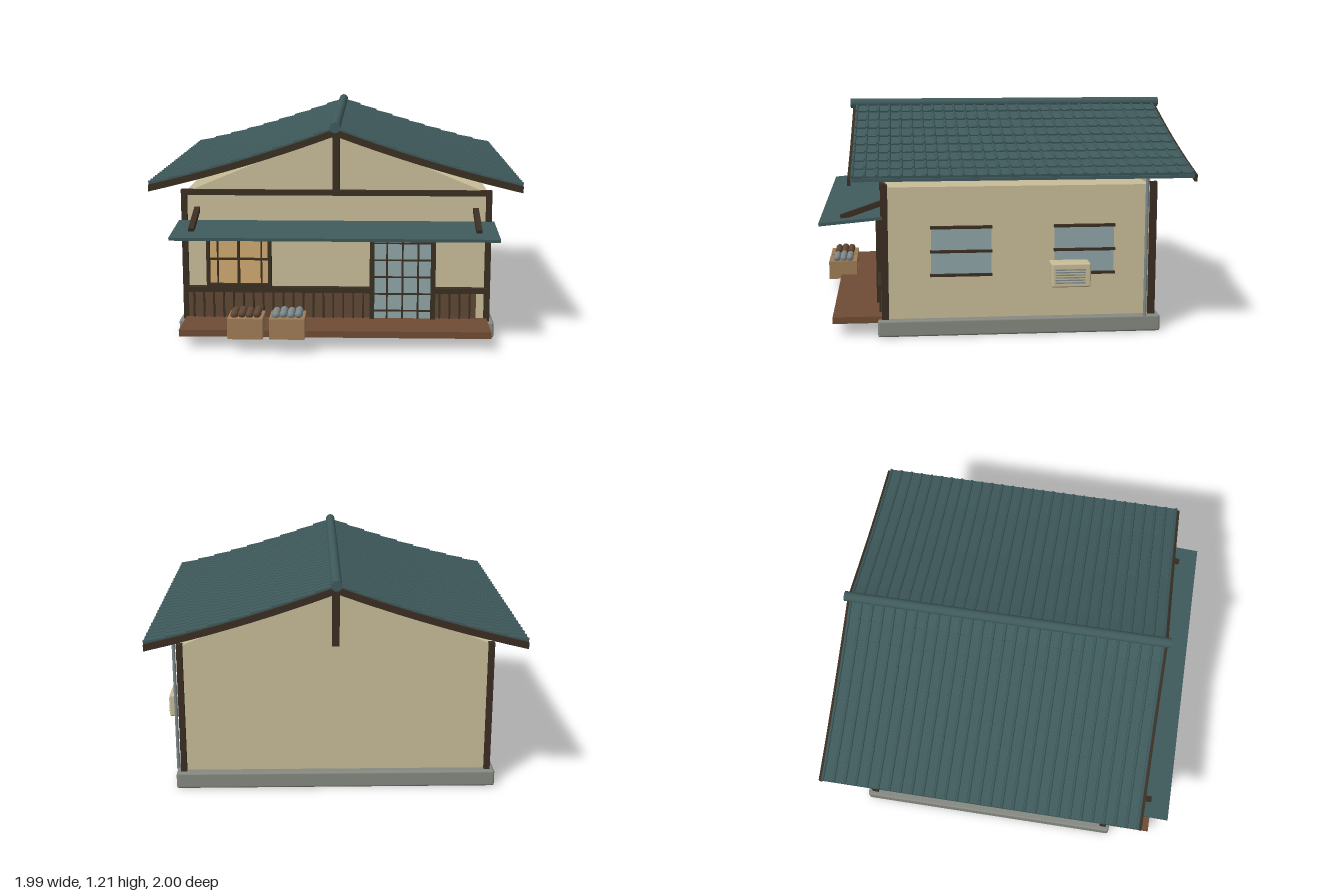
import * as THREE from 'three';
import { mergeGeometries } from 'three/addons/utils/BufferGeometryUtils.js';
import { RoundedBoxGeometry } from 'three/addons/geometries/RoundedBoxGeometry.js';

const mat = (name, color) => {
  const m = new THREE.MeshStandardMaterial({ color });
  m.name = name;
  return m;
};

export function createModel() {
  const plaster = mat('plaster', 0xc8bc98), tile = mat('roof tile', 0x3f5a5c);
  const timber = mat('dark timber', 0x3a2e22), panel = mat('panel brown', 0x5f4734);
  const plank = mat('plank brown', 0x6f4c35), crateWood = mat('crate wood', 0x9e7c55);
  const stone = mat('stone', 0x858980), glass = mat('glass', 0x8fa5a8);
  const paper = mat('warm paper', 0xcfa972), grey = mat('grey', 0x7c888a);
  const house = new THREE.Group();
  house.name = 'house';

  const add = (name, geo, material, x = 0, y = 0, z = 0, parent = house) => {
    const m = new THREE.Mesh(geo, material);
    m.name = name;
    m.position.set(x, y, z);
    parent.add(m);
    return m;
  };
  // box given by its limits on each axis
  const box = (name, material, x0, x1, y0, y1, z0, z1, parent = house) =>
    add(name, new THREE.BoxGeometry(x1 - x0, y1 - y0, z1 - z0), material,
      (x0 + x1) / 2, (y0 + y1) / 2, (z0 + z1) / 2, parent);

  // foundation and walls
  add('foundation', new RoundedBoxGeometry(1.74, 0.09, 1.52, 2, 0.012), stone, 0, 0.045, -0.075);
  box('walls', plaster, -0.83, 0.83, 0.085, 0.8, -0.785, 0.645);
  const gableShape = new THREE.Shape([[-0.83, 0.8], [0.83, 0.8], [0, 1.145]].map(p => new THREE.Vector2(...p)));
  const gableGeo = new THREE.ExtrudeGeometry(gableShape, { depth: 0.02, bevelEnabled: false });
  for (const z of [0.625, -0.785]) add('gable', gableGeo, plaster, 0, 0, z);

  // timber frame
  for (const z of [0.645, -0.79]) {
    for (const s of [-1, 1])
      box('cornerPost', timber, s * 0.83 - 0.016, s * 0.83 + 0.016, 0.09, 0.815, z - 0.019, z + 0.019);
    box('kingPost', timber, -0.02, 0.02, 0.8, 1.15, z - 0.015, z + 0.015);
  }
  box('tieBeam', timber, -0.845, 0.845, 0.79, 0.82, 0.635, 0.668);

  // curved roof: one half, built twice
  const roofY = x => 1.165 - 0.37 * x + 0.07 * x * x;
  const roofBand = (top, bottom, depth) => {
    const upper = [], lower = [];
    for (let i = 0; i <= 9; i++) {
      const x = i * 0.11;
      upper.push(new THREE.Vector2(x, roofY(x) + top));
      lower.unshift(new THREE.Vector2(x, roofY(x) + bottom));
    }
    return new THREE.ExtrudeGeometry(new THREE.Shape([...upper, ...lower]), { depth, bevelEnabled: false });
  };
  const shellGeo = roofBand(0.002, -0.014, 1.78);
  const bargeGeo = roofBand(0.004, -0.032, 0.016);
  for (const turn of [0, Math.PI]) {
    const half = new THREE.Group();
    half.name = 'roofHalf';
    half.position.z = -0.08;
    half.rotation.y = turn;
    house.add(half);
    add('roofShell', shellGeo, tile, 0, 0, -0.89, half);
    for (const z of [-0.905, 0.889]) add('bargeBoard', bargeGeo, timber, 0, 0, z, half);
    for (let i = 0; i < 9; i++) {
      // overlapping course with raised ribs
      const x0 = i * 0.11, x1 = x0 + 0.11;
      const length = Math.hypot(0.11, roofY(x1) - roofY(x0));
      const parts = [new THREE.BoxGeometry(length, 0.012, 1.78)];
      for (let k = 0; k <= 28; k++) {
        const rib = new THREE.CylinderGeometry(0.008, 0.008, length, 6);
        rib.rotateZ(Math.PI / 2).translate(0, 0.006, -0.882 + k * 0.063);
        parts.push(rib);
      }
      const course = add('tileCourse', mergeGeometries(parts), tile, (x0 + x1) / 2,
        (roofY(x0) + roofY(x1)) / 2 + 0.006, 0, half);
      course.rotation.z = Math.atan2(roofY(x1) - roofY(x0), 0.11) + 0.07;
    }
  }
  add('ridge', new THREE.CylinderGeometry(0.028, 0.028, 1.84, 16).rotateX(Math.PI / 2), tile, 0, 1.178, -0.08);

  // awning with its brackets
  const awning = add('awning', new THREE.BoxGeometry(1.72, 0.016, 0.33), tile, 0, 0.627, 0.82);
  awning.rotation.x = 0.09;
  for (const x of [-0.76, 0.76]) {
    const bracket = add('awningBracket', new THREE.BoxGeometry(0.03, 0.028, 0.24), timber, x, 0.672, 0.76);
    bracket.rotation.x = 0.33;
  }

  // wainscot with battens and rail
  for (const [x0, x1, railEnd] of [[-0.815, 0.19, 0.19], [0.54, 0.77, 0.83]]) {
    box('wainscot', panel, x0, x1, 0.1, 0.255, 0.64, 0.668);
    box('wainscotRail', timber, x0, railEnd, 0.25, 0.278, 0.64, 0.685);
    for (let x = x0 + 0.03; x < x1; x += 0.055)
      box('batten', timber, x - 0.005, x + 0.005, 0.1, 0.255, 0.66, 0.677);
  }

  // sliding door
  box('doorGlass', glass, 0.2, 0.53, 0.1, 0.61, 0.64, 0.672);
  for (const x of [0.198, 0.532]) box('doorJamb', timber, x - 0.013, x + 0.013, 0.1, 0.64, 0.64, 0.695);
  box('doorHead', timber, 0.185, 0.545, 0.61, 0.64, 0.64, 0.695);
  for (const x of [0.28, 0.365, 0.45]) box('doorMullion', timber, x - 0.005, x + 0.005, 0.1, 0.61, 0.67, 0.682);
  for (const y of [0.15, 0.245, 0.34, 0.435, 0.53])
    box('doorBar', timber, 0.2, 0.53, y - 0.004, y + 0.004, 0.67, 0.681);

  // front paper window
  box('paperPane', paper, -0.7, -0.365, 0.29, 0.59, 0.64, 0.664);
  for (const x of [-0.702, -0.364]) box('windowJamb', timber, x - 0.009, x + 0.009, 0.28, 0.6, 0.64, 0.69);
  for (const y of [0.289, 0.592]) box('windowRail', timber, -0.711, -0.355, y - 0.009, y + 0.009, 0.64, 0.69);
  for (const [x, w] of [[-0.65, 0.004], [-0.535, 0.007], [-0.41, 0.004]])
    box('windowMullion', timber, x - w, x + w, 0.29, 0.59, 0.66, 0.678);
  box('windowCrossbar', timber, -0.7, -0.365, 0.43, 0.441, 0.66, 0.677);

  // side windows
  for (const s of [-1, 1]) for (const z of [0.24, -0.42]) {
    box('sideGlass', glass, s * 0.834 - 0.005, s * 0.834 + 0.005, 0.325, 0.585, z - 0.16, z + 0.16);
    for (const y of [0.327, 0.455, 0.584])
      box('sideBar', timber, s * 0.842 - 0.012, s * 0.842 + 0.012, y - 0.007, y + 0.007, z - 0.165, z + 0.165);
  }

  // cooling unit and drain pipe
  add('coolingUnit', new RoundedBoxGeometry(0.105, 0.13, 0.21, 2, 0.01), plaster, 0.892, 0.335, -0.335);
  for (let i = 0; i < 6; i++)
    box('ventSlat', grey, 0.94, 0.949, 0.293 + i * 0.014, 0.299 + i * 0.014, -0.41, -0.25);
  add('drainPipe', new THREE.CylinderGeometry(0.009, 0.009, 0.77, 10), grey, 0.866, 0.47, -0.75);

  // porch deck, crates and produce
  box('porch', plank, -0.83, 0.83, 0.07, 0.106, 0.66, 0.925);
  const ball = new THREE.SphereGeometry(0.021, 10, 8);
  for (const [cx, material] of [[-0.468, panel], [-0.248, grey]]) {
    box('crate', crateWood, cx - 0.093, cx + 0.093, 0.08, 0.19, 0.83, 1);
    for (let i = 0; i < 4; i++) for (let j = 0; j < 3; j++)
      add('produce', ball, material, cx - 0.06 + i * 0.04, 0.201 + (i + j) % 2 * 0.004, 0.873 + j * 0.04);
  }
  return house;
}
